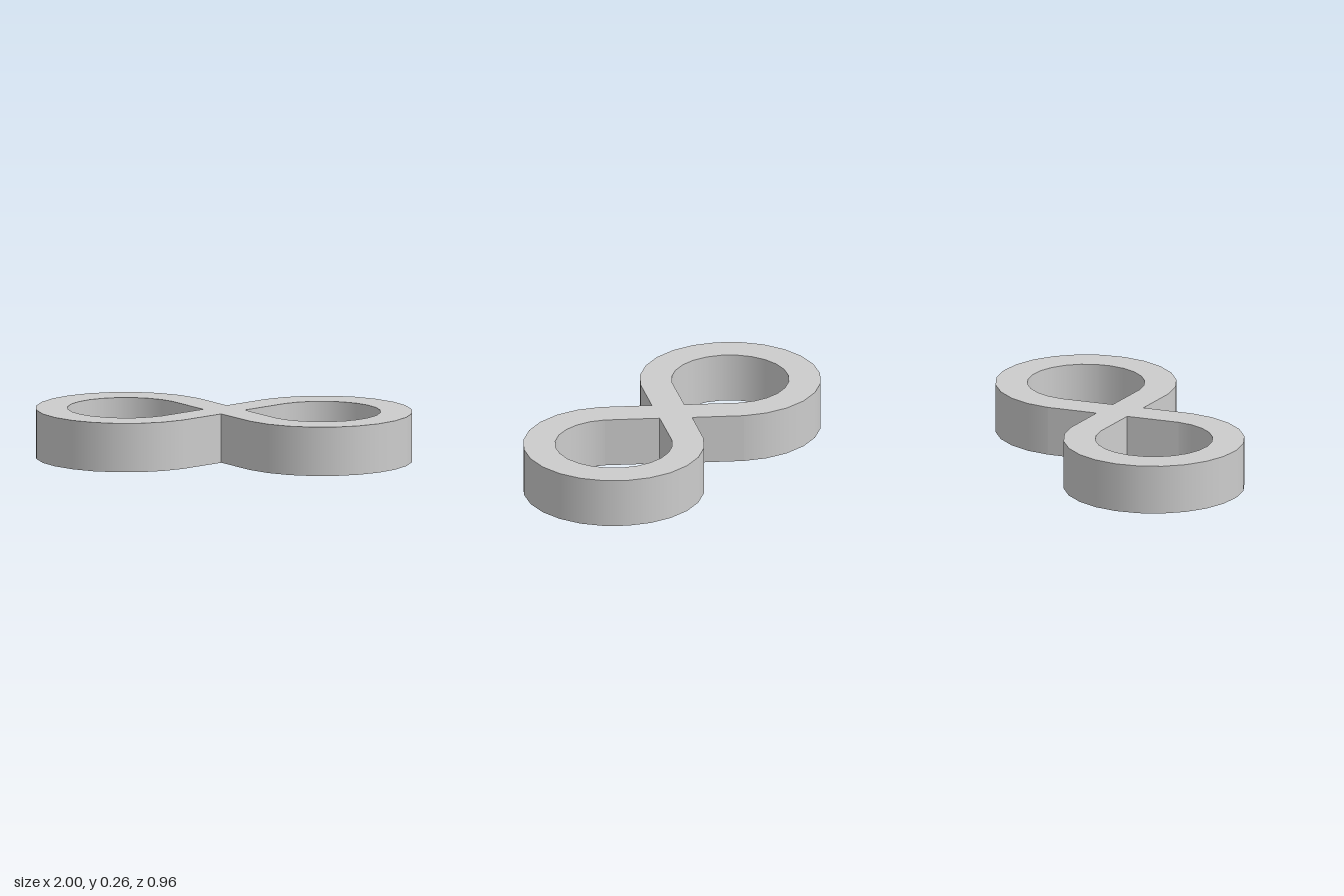
import * as THREE from 'three';

const CENTER = 0.52, OUTER = 0.48, INNER = 0.311, HEIGHT = 0.262;

// Points on a 24-sided ring arc around one lobe (side = +1 or -1), from +135 to -135 degrees
function lobe(side, radius) {
  const points = [];
  for (let i = 9; i >= -9; i--) {
    const a = i * Math.PI / 12;
    points.push(new THREE.Vector2(side * (CENTER + radius * Math.cos(a)), radius * Math.sin(a)));
  }
  return points;
}

// Teardrop opening pointing at the crossing, wound counter-clockwise on both sides
function opening(side) {
  const points = [new THREE.Vector2(side * 0.11, 0), ...lobe(side, INNER)];
  return new THREE.Path(side > 0 ? points.reverse() : points);
}

// Round the arc walls with radial normals; straight walls and caps stay flat
function smoothArcs(geometry) {
  const p = geometry.attributes.position, n = geometry.attributes.normal;
  const flat = new THREE.Vector3(), radial = new THREE.Vector3();
  for (let i = 0; i < p.count; i += 3) {
    const onArc = [0, 1, 2].every(k => Math.abs(p.getX(i + k)) > 0.15);
    if (!onArc || Math.abs(n.getY(i)) > 0.5) continue;
    for (let k = i; k < i + 3; k++) {
      flat.fromBufferAttribute(n, k);
      radial.set(p.getX(k) - Math.sign(p.getX(k)) * CENTER, 0, p.getZ(k)).normalize();
      if (radial.dot(flat) < 0) radial.negate();
      n.setXYZ(k, radial.x, 0, radial.z);
    }
  }
}

export function createModel() {
  const gray = new THREE.MeshStandardMaterial({ color: 0xcccccc });
  gray.name = 'gray';

  // Outer figure-eight outline, pinched at the waist, wound clockwise
  const outline = new THREE.Shape([
    new THREE.Vector2(0, 0.132),
    ...lobe(1, OUTER),
    new THREE.Vector2(0, -0.132),
    ...lobe(-1, OUTER).reverse(),
  ]);
  outline.holes.push(opening(1), opening(-1));

  const geometry = new THREE.ExtrudeGeometry(outline, { depth: HEIGHT, bevelEnabled: false });
  geometry.rotateX(-Math.PI / 2);
  smoothArcs(geometry);

  const link = new THREE.Mesh(geometry, gray);
  link.name = 'figureEightLink';
  const group = new THREE.Group();
  group.name = 'figureEight';
  group.add(link);
  return group;
}
